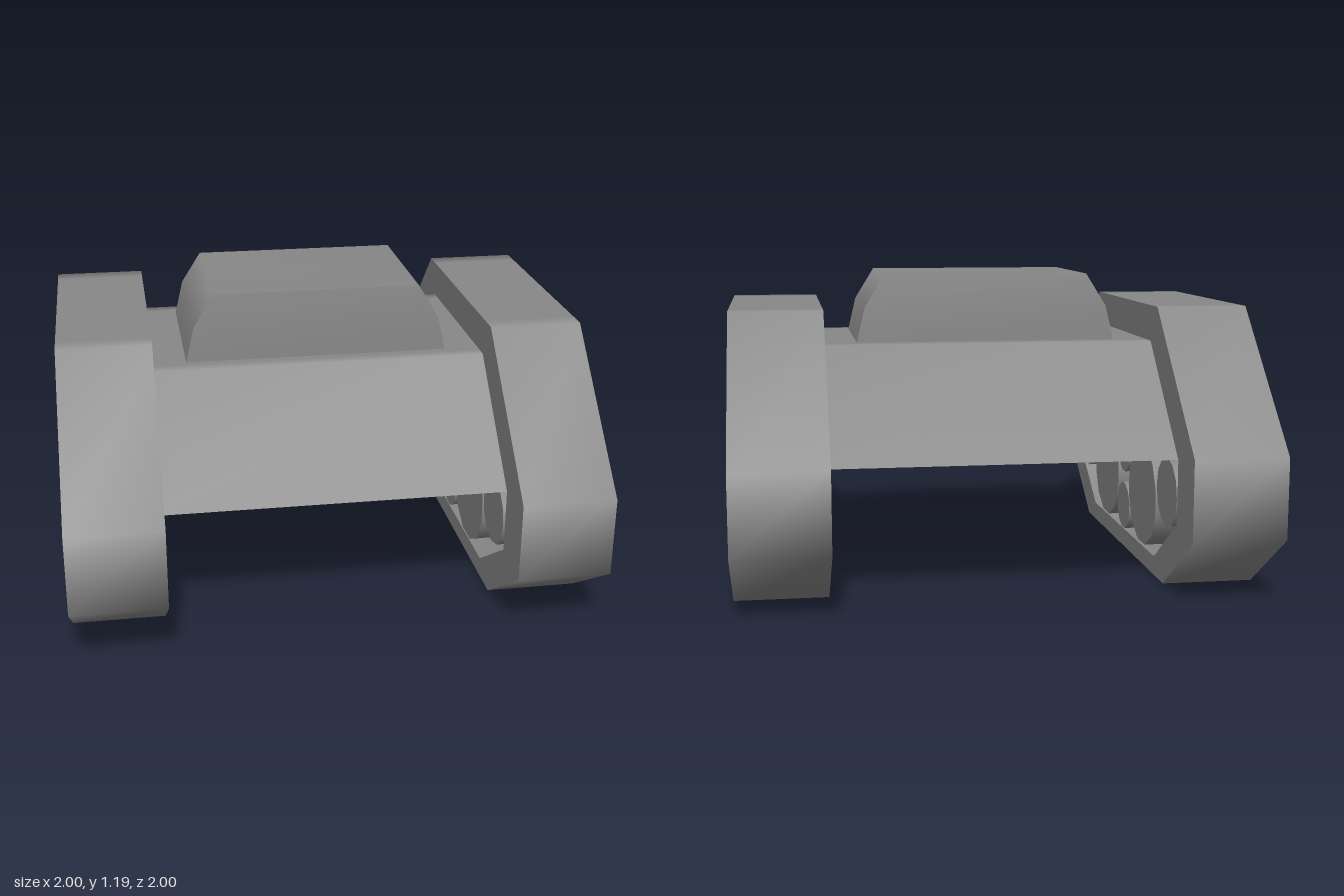
import * as THREE from 'three';

const material = new THREE.MeshStandardMaterial({ color: 0x878787 });

const INNER = 0.645; // inner face of each track
const WIDTH = 0.355; // track width
const CREASE = Math.cos(1.1); // edges sharper than this stay hard

function add(parent, name, geometry) {
  const mesh = new THREE.Mesh(geometry, material);
  mesh.name = name;
  parent.add(mesh);
  return mesh;
}

// Area-weighted smooth normals that keep sharp edges
function smoothNormals(geometry) {
  const position = geometry.attributes.position;
  const points = [], faces = [], shared = new Map();
  const key = (p) => p.toArray().map((v) => Math.round(v * 1e4)).join();
  for (let i = 0; i < position.count; i++) {
    points.push(new THREE.Vector3().fromBufferAttribute(position, i));
  }
  for (let i = 0; i < points.length; i += 3) {
    const [a, b, c] = points.slice(i, i + 3);
    const area = b.clone().sub(a).cross(c.clone().sub(a));
    const face = { area, unit: area.clone().normalize() };
    faces.push(face);
    for (const p of [a, b, c]) {
      const k = key(p);
      if (!shared.has(k)) shared.set(k, []);
      shared.get(k).push(face);
    }
  }
  const normals = points.flatMap((p, i) => {
    const own = faces[Math.floor(i / 3)];
    const sum = new THREE.Vector3();
    for (const f of shared.get(key(p))) if (f.unit.dot(own.unit) > CREASE) sum.add(f.area);
    return sum.normalize().toArray();
  });
  geometry.setAttribute('normal', new THREE.Float32BufferAttribute(normals, 3));
  return geometry;
}

// Mirror half a side profile of [z, y] points to the other end
function symmetric(half) {
  const pts = half.map(([z, y]) => new THREE.Vector2(z, y));
  return pts.concat(half.map(([z, y]) => new THREE.Vector2(-z, y)).reverse());
}

// Extrude a [z, y] side profile across x, centred on x = 0
function sideExtrude(half, width, holeHalf) {
  const shape = new THREE.Shape(symmetric(half));
  if (holeHalf) shape.holes.push(new THREE.Path(symmetric(holeHalf)));
  const geometry = new THREE.ExtrudeGeometry(shape, { depth: width, bevelEnabled: false })
    .translate(0, 0, -width / 2)
    .rotateY(-Math.PI / 2);
  return smoothNormals(geometry);
}

// Tapered block from rectangular sections [halfX, halfZ, y]
function turretGeometry(sections) {
  const corners = [[1, 1], [1, -1], [-1, -1], [-1, 1]];
  const positions = [], index = [];
  for (const [hx, hz, y] of sections)
    for (const [sx, sz] of corners) positions.push(sx * hx, y, sz * hz);
  for (let s = 0; s < sections.length - 1; s++) {
    for (let i = 0; i < 4; i++) {
      const a = s * 4 + i, b = s * 4 + ((i + 1) % 4);
      index.push(a, b, b + 4, a, b + 4, a + 4);
    }
  }
  const t = (sections.length - 1) * 4;
  index.push(t, t + 1, t + 2, t, t + 2, t + 3); // roof
  index.push(0, 2, 1, 0, 3, 2); // underside
  const geometry = new THREE.BufferGeometry();
  geometry.setAttribute('position', new THREE.Float32BufferAttribute(positions, 3));
  geometry.setIndex(index);
  return smoothNormals(geometry.toNonIndexed());
}

export function createModel() {
  const model = new THREE.Group();
  model.name = 'trackedVehicle';

  // Hull with sloping front and back plates, softened along the top edges
  add(model, 'hull', sideExtrude([[0.8, 0.52], [0.39, 0.925], [0.34, 0.925]], INNER * 2));

  // Low turret with curved shoulders
  add(model, 'turret', turretGeometry([
    [0.513, 0.313, 0.92], [0.48, 0.31, 1.06], [0.403, 0.295, 1.187],
  ]));

  // Track frame outline, opening and wheels
  const outline = [[0.63, 0], [1, 0.25], [1, 0.555], [0.48, 1.065], [0.4, 1.065]];
  const opening = [[0.5, 0.075], [0.8, 0.275], [0.8, 0.52]];
  // name, z, y, radius, flat side up
  const wheels = [
    ['frontEndWheel', 0.643, 0.367, 0.136, false],
    ['frontRoadWheel', 0.29, 0.29, 0.214, true],
    ['upperRoller', -0.01, 0.413, 0.088, true],
    ['lowerRoller', -0.012, 0.178, 0.101, true],
    ['backRoadWheel', -0.304, 0.29, 0.21, true],
    ['backEndWheel', -0.657, 0.368, 0.136, false],
  ];

  for (const side of [1, -1]) {
    const track = new THREE.Group();
    track.name = side > 0 ? 'leftTrack' : 'rightTrack';
    track.position.x = side * (INNER + WIDTH / 2);
    model.add(track);
    add(track, 'trackFrame', sideExtrude(outline, WIDTH, opening));
    for (const [name, z, y, radius, flatUp] of wheels) {
      const wheel = new THREE.CylinderGeometry(radius, radius, WIDTH, 12)
        .rotateY(flatUp ? Math.PI / 12 : 0)
        .rotateZ(Math.PI / 2);
      add(track, name, wheel).position.set(0, y, z);
    }
  }
  return model;
}
